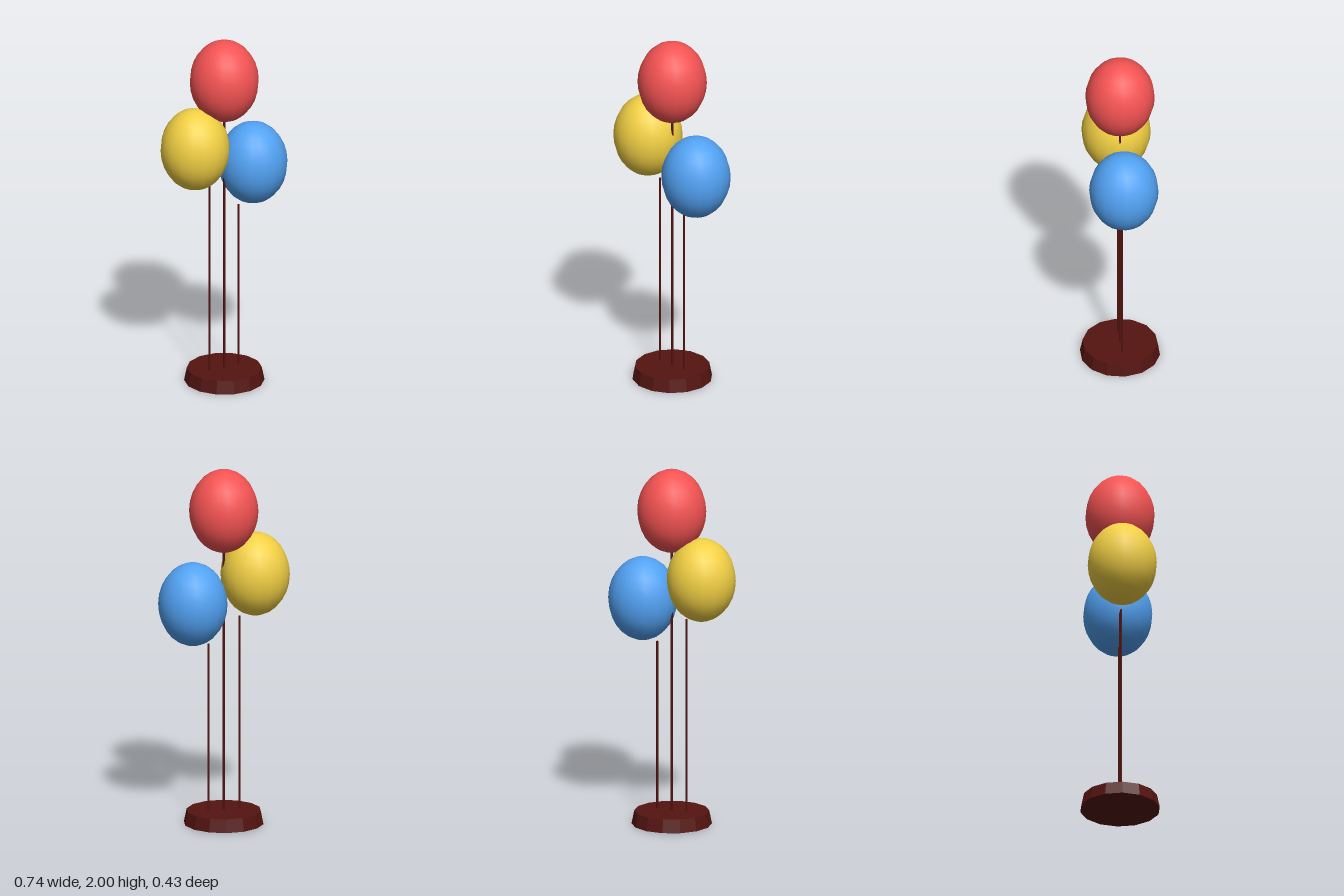
import * as THREE from 'three';

const RADIUS = 0.19, HALF_HEIGHT = 0.2325, BASE_HEIGHT = 0.073;

export function createModel() {
  const model = new THREE.Group();
  const mat = (color, flatShading = false) => new THREE.MeshStandardMaterial({ color, flatShading });
  const add = (name, geometry, material, x, y) => {
    const mesh = new THREE.Mesh(geometry, material);
    mesh.name = name;
    mesh.position.set(x, y, 0);
    model.add(mesh);
  };

  // Weighted base, slightly tapered, with corners on the x axis
  const dark = mat(0x541410, true);
  add('base', new THREE.CylinderGeometry(0.205, 0.22, BASE_HEIGHT, 14, 1, false, Math.PI / 2), dark, 0, BASE_HEIGHT / 2);

  // Egg-shaped balloons, each above its own upright string
  const balloonGeometry = new THREE.SphereGeometry(RADIUS, 18, 14).scale(1, HALF_HEIGHT / RADIUS, 1);
  const stringMaterial = mat(0x541410);
  const balloons = [
    { name: 'red', color: 0xf55353, x: 0, y: 1.7675, stringX: 0 },
    { name: 'yellow', color: 0xf2d044, x: -0.18, y: 1.398, stringX: -0.09 },
    { name: 'blue', color: 0x52a2f3, x: 0.177, y: 1.253, stringX: 0.088 },
  ];
  for (const { name, color, x, y, stringX } of balloons) {
    add(name + 'Balloon', balloonGeometry, mat(color), x, y);
    const bottom = BASE_HEIGHT - 0.01, top = y - HALF_HEIGHT;
    add(name + 'String', new THREE.CylinderGeometry(0.006, 0.006, top - bottom, 6), stringMaterial, stringX, (top + bottom) / 2);
  }
  return model;
}
